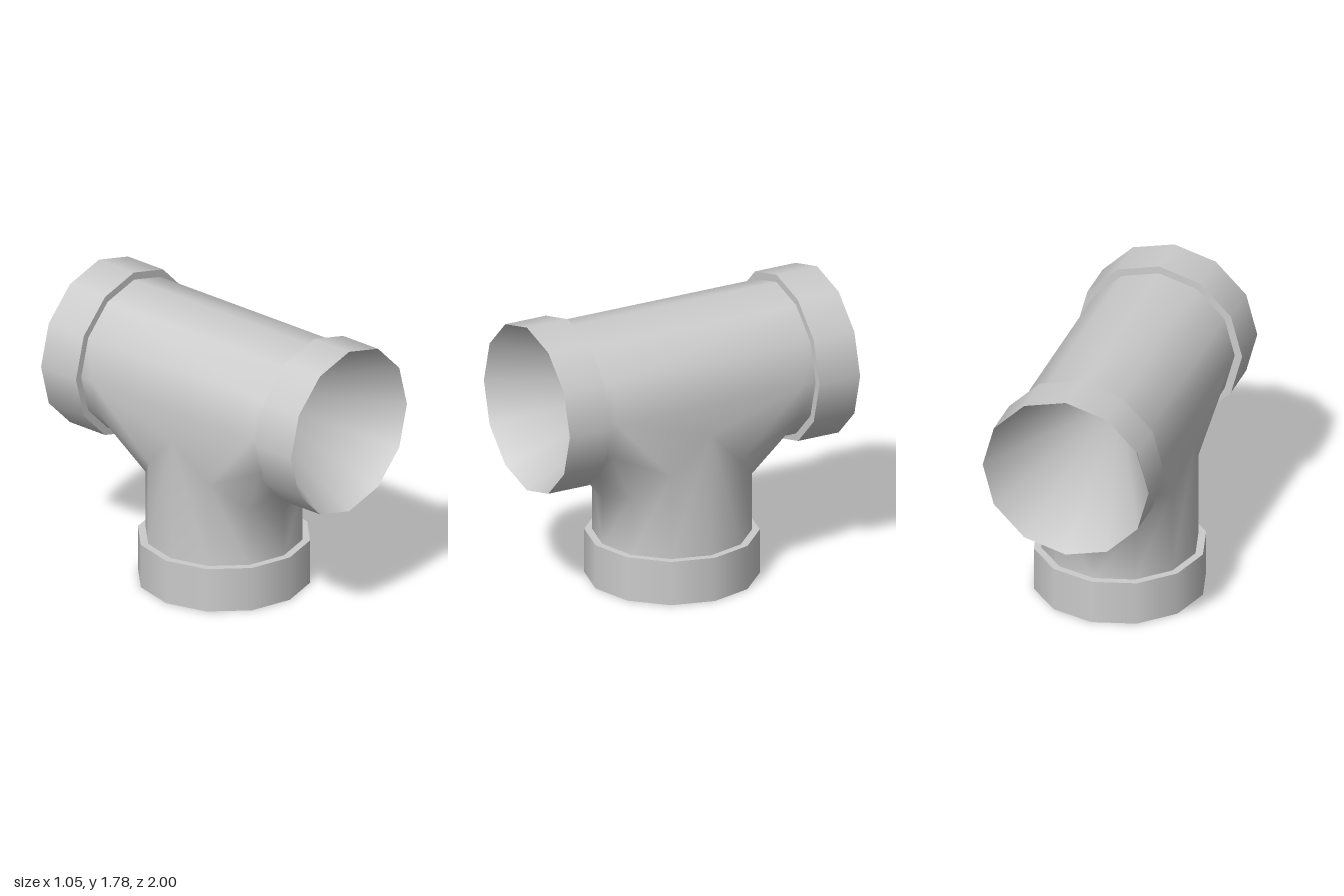
import * as THREE from 'three';
import { mergeVertices } from 'three/addons/utils/BufferGeometryUtils.js';

const SIDES = 12;
const PIPE = 0.48;      // pipe radius
const COLLAR = 0.527;   // socket radius
const DEPTH = 0.28;     // socket depth
const AXIS = 1.257;     // height of the run's axis
const BEVEL_Z = 0.645;  // where the bevel meets the run
const BEVEL_Y = 0.2;    // how far the bevel drops down the branch

const material = new THREE.MeshStandardMaterial({ color: 0xcccccc, side: THREE.DoubleSide });

// Adds a grid of quads given by point(column, row) -> [x, y, z], diagonals mirrored about the middle
function addGrid(pos, index, cols, rows, point) {
  const start = pos.length / 3;
  for (let j = 0; j <= rows; j++)
    for (let i = 0; i <= cols; i++) pos.push(...point(i, j));
  for (let j = 0; j < rows; j++)
    for (let i = 0; i < cols; i++) {
      const a = start + j * (cols + 1) + i, b = a + 1, c = a + cols + 1, d = c + 1;
      if (i < cols / 2) index.push(a, b, c, b, d, c);
      else index.push(a, b, d, a, d, c);
    }
}

// Tee body: upper half of the run, and two sides sweeping from branch to run with a bevel
function teeBody() {
  const pos = [], index = [], half = SIDES / 2, end = 1 - DEPTH;
  const rings = [-end, -BEVEL_Z, BEVEL_Z, end];
  addGrid(pos, index, half, 3, (i, j) => {
    const t = (i / half) * Math.PI;
    return [PIPE * Math.cos(t), AXIS + PIPE * Math.sin(t), rings[j]];
  });
  for (const s of [1, -1]) {
    addGrid(pos, index, half, 3, (i, j) => {
      const a = (i / half - 0.5) * Math.PI, c = Math.cos(a);
      const seam = AXIS - PIPE * c;
      const y = [DEPTH, seam - BEVEL_Y, seam, seam][j];
      const z = [PIPE * c, PIPE * c, BEVEL_Z, end][j];
      return [s * PIPE * Math.sin(a), y, s * z];
    });
    // Flat web on each flank between the two bevels
    const n = pos.length / 3, x = s * PIPE;
    pos.push(x, AXIS - BEVEL_Y, 0, x, AXIS, -s * BEVEL_Z, x, AXIS, s * BEVEL_Z);
    index.push(n, n + 1, n + 2);
  }
  let geo = new THREE.BufferGeometry();
  geo.setAttribute('position', new THREE.Float32BufferAttribute(pos, 3));
  geo.setIndex(index);
  geo = mergeVertices(geo, 1e-4);
  geo.computeVertexNormals();
  return geo;
}

// Hollow tapering inward from the rim, with one shared smooth tip
function hollowCone() {
  const cone = new THREE.ConeGeometry(COLLAR, 1, SIDES, 1, true).translate(0, 0.5, 0);
  cone.deleteAttribute('normal');
  cone.deleteAttribute('uv');
  const geo = mergeVertices(cone, 1e-4);
  geo.computeVertexNormals();
  return geo;
}

// Socket: opening at y = 0, shoulder at y = DEPTH
function makeSocket(name) {
  const socket = new THREE.Group();
  socket.name = name;
  const add = (part, geo) => {
    const mesh = new THREE.Mesh(geo, material);
    mesh.name = part;
    socket.add(mesh);
  };
  add('collar', new THREE.CylinderGeometry(COLLAR, COLLAR, DEPTH, SIDES, 1, true)
    .translate(0, DEPTH / 2, 0));
  add('shoulder', new THREE.RingGeometry(PIPE, COLLAR, SIDES)
    .rotateX(-Math.PI / 2).translate(0, DEPTH, 0));
  add('hollow', hollowCone());
  return socket;
}

export function createModel() {
  const model = new THREE.Group();
  model.name = 'pipeTee';

  const body = new THREE.Mesh(teeBody(), material);
  body.name = 'teeBody';
  model.add(body);

  // Sockets on the branch and both ends of the run
  model.add(makeSocket('bottomSocket'));
  for (const s of [1, -1]) {
    const socket = makeSocket(s > 0 ? 'frontSocket' : 'backSocket');
    socket.rotation.x = -s * Math.PI / 2;
    socket.position.set(0, AXIS, s);
    model.add(socket);
  }
  return model;
}
